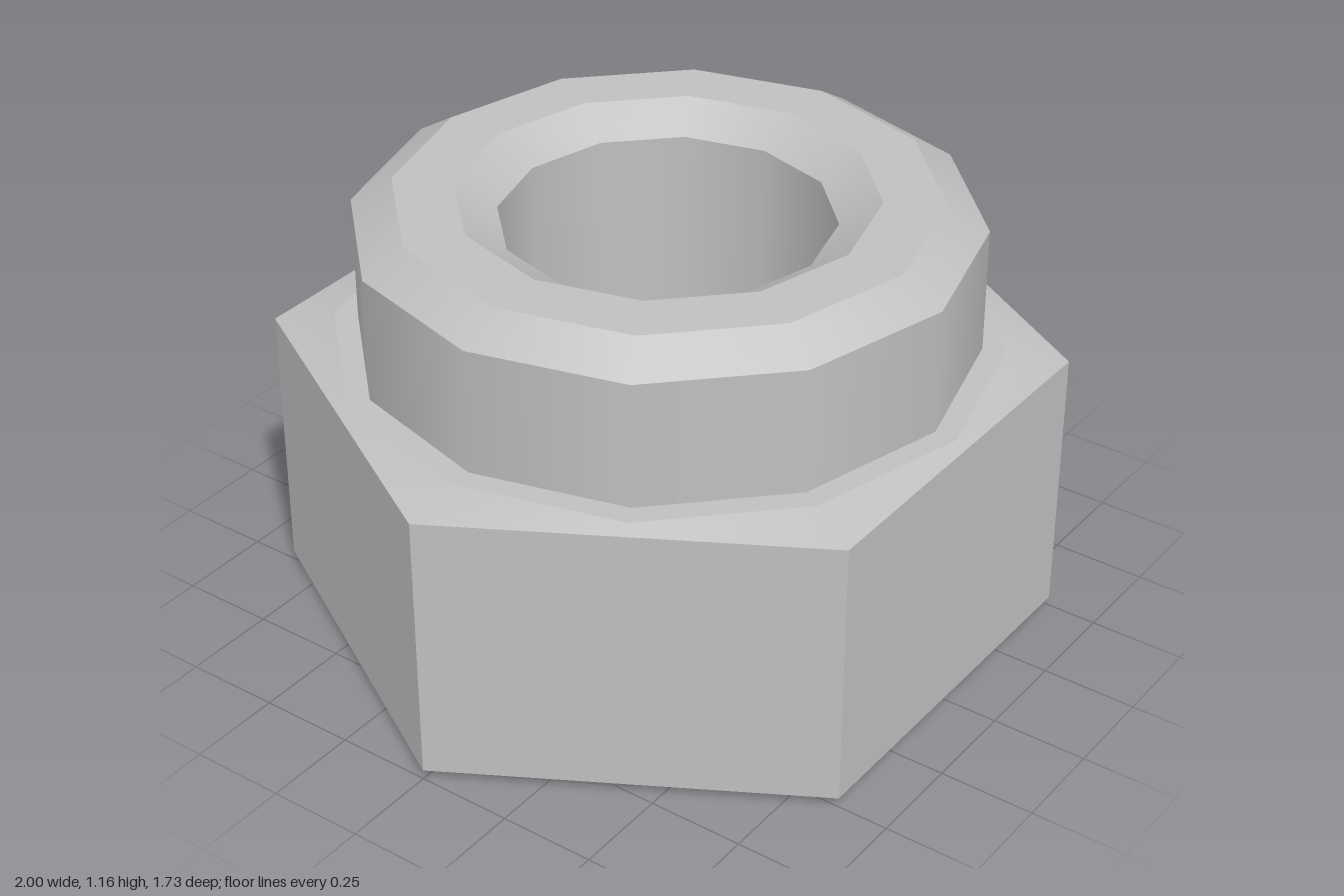
import * as THREE from 'three';

const SIDES = 12;

export function createModel() {
  const group = new THREE.Group();
  const steel = new THREE.MeshStandardMaterial({ color: 0xc0c0c0 });
  steel.name = 'steel';

  const add = (name, geometry) => {
    const mesh = new THREE.Mesh(geometry, steel);
    mesh.name = name;
    group.add(mesh);
    return mesh;
  };

  // A twelve-sided band between two [radius, y] rings, smooth around, sharp at its rims
  const band = (name, a, b) =>
    add(name, new THREE.LatheGeometry([new THREE.Vector2(...a), new THREE.Vector2(...b)], SIDES));

  // Point on the hexagon outline (corners on +x and -x, every second point a mid-side)
  const hexRadius = (i) => (i % 2 ? Math.cos(Math.PI / 6) : 1);

  // Chamfer joining the hexagon outline to a round ring
  const chamfer = (name, hexY, ringR, ringY) => {
    const pos = [], index = [];
    for (let i = 0; i < SIDES; i++) {
      const t = (i / SIDES) * Math.PI * 2, c = Math.cos(t), s = Math.sin(t), r = hexRadius(i);
      pos.push(r * c, hexY, r * s, ringR * c, ringY, ringR * s);
      const a = 2 * i, b = a + 1, d = (2 * i + 2) % (2 * SIDES), e = d + 1;
      if (ringY > hexY) index.push(a, b, d, b, e, d);
      else index.push(a, d, b, b, d, e);
    }
    const g = new THREE.BufferGeometry();
    g.setAttribute('position', new THREE.Float32BufferAttribute(pos, 3));
    g.setIndex(index);
    g.computeVertexNormals();
    add(name, g);
  };

  // Hexagonal body: six flat wrench faces
  const body = new THREE.CylinderGeometry(1, 1, 0.72, 6, 1, true).toNonIndexed();
  body.rotateY(Math.PI / 6);
  body.computeVertexNormals();
  add('hexBody', body).position.y = 0.385;

  chamfer('topChamfer', 0.745, 0.845, 0.77);
  chamfer('bottomChamfer', 0.025, 0.845, 0);

  // Shoulder, collar, countersink, bore and base
  band('shoulder', [0.845, 0.77], [0.785, 0.77]);
  band('collarWall', [0.785, 0.77], [0.785, 1.1]);
  band('collarBevel', [0.785, 1.1], [0.68, 1.165]);
  band('collarTop', [0.68, 1.165], [0.525, 1.165]);
  band('countersink', [0.525, 1.165], [0.42, 1.1]);
  band('bore', [0.42, 1.1], [0.42, 0]);
  band('base', [0.42, 0], [0.845, 0]);

  return group;
}
